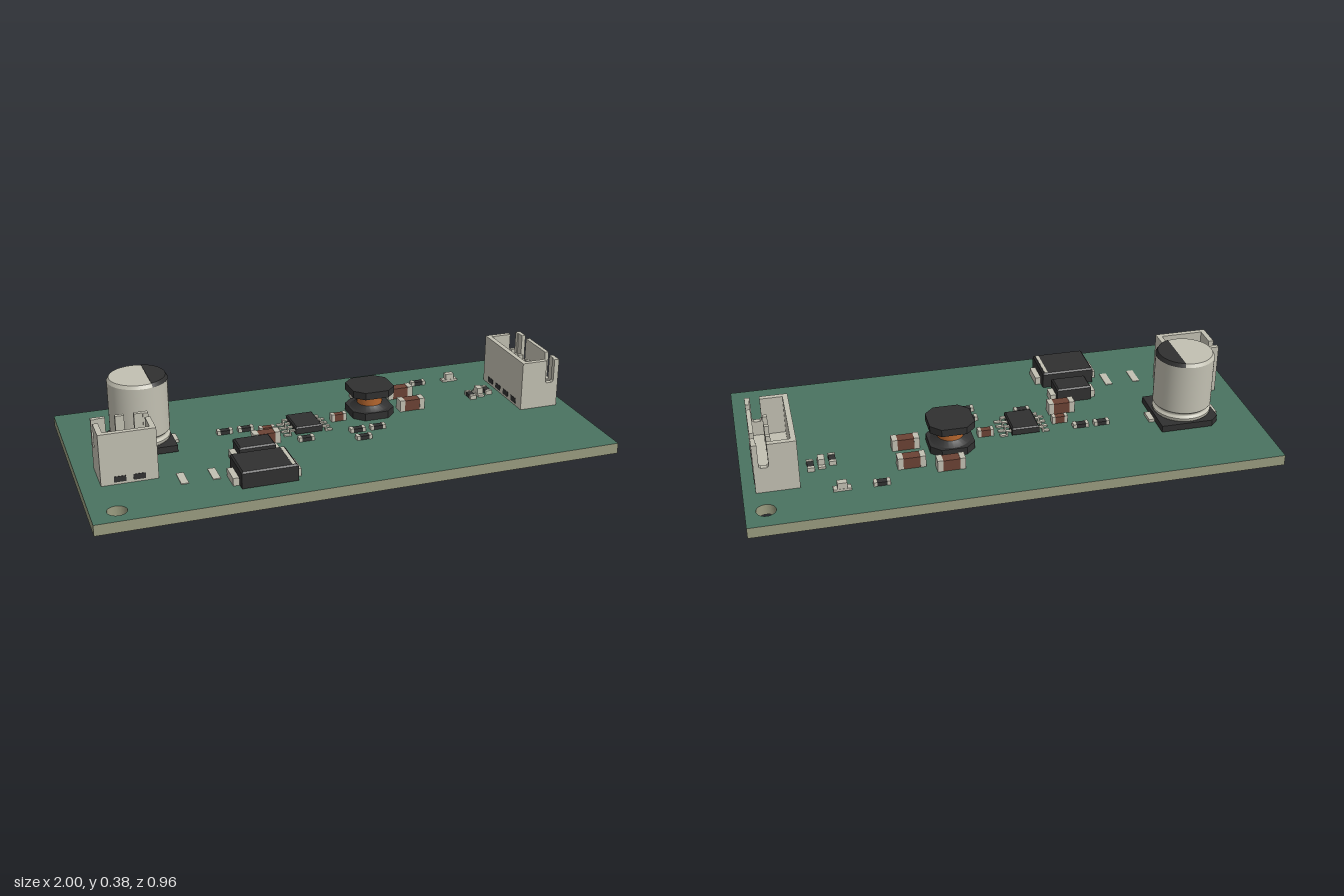
import * as THREE from 'three';

const mat = (name, color, side = THREE.FrontSide) =>
  Object.assign(new THREE.MeshStandardMaterial({ color, side }), { name });

export function createModel() {
  const green = mat('board green', 0x4a7360), edge = mat('board edge', 0x9a9c80);
  const light = mat('pale plastic and metal', 0xc2c0b2, THREE.DoubleSide);
  const black = mat('black', 0x303030, THREE.DoubleSide);
  const brown = mat('ceramic brown', 0x6b4234), copper = mat('copper', 0xb8682f);
  const model = new THREE.Group();
  const TOP = 0.096, BOTTOM = 0.054;

  const add = (name, geo, material, x = 0, y = 0, z = 0, parent = model) => {
    const m = new THREE.Mesh(geo, material);
    m.name = name;
    m.position.set(x, y, z);
    parent.add(m);
    return m;
  };
  // Box standing on height y
  const box = (name, w, h, d, material, x, y, z, parent) =>
    add(name, new THREE.BoxGeometry(w, h, d), material, x, y + h / 2, z, parent);
  const group = (name, x, z, turn = 0) => {
    const g = new THREE.Group();
    g.name = name;
    g.position.set(x, 0, z);
    g.rotation.y = turn;
    model.add(g);
    return g;
  };
  const polygon = (pts) => new THREE.Shape(pts.map(([x, y]) => new THREE.Vector2(x, y)));
  const extrude = (shape, depth, curveSegments = 24) =>
    new THREE.ExtrudeGeometry(shape, { depth, bevelEnabled: false, curveSegments });
  const slab = (shape, depth) => extrude(shape, depth).rotateX(-Math.PI / 2);
  // Box whose top is drawn in by a small amount
  const taperedBox = (w, h, d, inset) => {
    const g = new THREE.BoxGeometry(w, h, d, 1, 3, 1), p = g.attributes.position;
    for (let i = 0; i < p.count; i++) {
      if (p.getY(i) > h * 0.4) {
        p.setX(i, p.getX(i) * (1 - 2 * inset / w));
        p.setZ(i, p.getZ(i) * (1 - 2 * inset / d));
      } else if (p.getY(i) > 0) p.setY(i, h / 2 - inset);
    }
    const flat = g.toNonIndexed();
    flat.computeVertexNormals();
    return flat;
  };

  // Board with two mounting holes
  const outline = polygon([[-1, -0.48], [1, -0.48], [1, 0.48], [-1, 0.48]]);
  for (const [x, z] of [[0.925, -0.385], [-0.905, 0.402]]) {
    outline.holes.push(new THREE.Path().absarc(x, -z, 0.036, 0, Math.PI * 2, true));
  }
  add('board', slab(outline, TOP - BOTTOM), [green, edge], 0, BOTTOM, 0);

  // Bare solder pads
  for (const x of [-0.639, -0.522]) box('solderPad', 0.028, 0.003, 0.09, light, x, TOP, 0.235);

  // Electrolytic capacitor
  const can = group('electrolyticCapacitor', -0.722, -0.103);
  const b = 0.118, c = 0.032;
  add('capacitorBase', slab(polygon([[-b + c, -b], [b, -b], [b, b], [-b + c, b], [-b, b - c], [-b, -b + c]]), 0.026),
    black, 0, TOP + 0.004, 0, can);
  box('capacitorLeads', 0.28, 0.012, 0.06, light, 0, TOP, 0, can);
  const lathe = (pts, ...args) => new THREE.LatheGeometry(pts.map(([r, y]) => new THREE.Vector2(r, y)), ...args);
  const canPart = (name, pts) => add(name, lathe(pts, 48), light, 0, 0, 0, can);
  canPart('canFoot', [[0.105, 0.124], [0.113, 0.132], [0.113, 0.142]]);
  canPart('canGroove', [[0.113, 0.142], [0.104, 0.148], [0.102, 0.153], [0.104, 0.158], [0.113, 0.166]]);
  canPart('canWall', [[0.113, 0.166], [0.113, 0.366]]);
  canPart('canRim', [[0.113, 0.366], [0.105, 0.379]]);
  canPart('canLid', [[0.105, 0.379], [0, 0.379]]);
  const a = Math.acos(0.035 / 0.106);
  add('polarityMark', slab(new THREE.Shape().absarc(0, 0, 0.106, -a, a), 0.002), black, 0, 0.379, 0, can);
  add('polarityRim', lathe([[0.1145, 0.366], [0.106, 0.381]], 24, Math.PI / 2 - a, 2 * a), black, 0, 0, 0, can);

  // Pin header sockets: slotted wall at local -z, plain wall at local +z
  function connector(name, pins, x, z, turn) {
    const g = group(name, x, z, turn);
    const L = pins * 0.0685 + 0.072, D = 0.16, t = 0.02, low = TOP + 0.001, high = 0.296;
    box('socketFloor', L - 0.01, 0.045, D - 0.01, light, 0, low, 0, g);
    box('plainWall', L - 0.02, high - low, t, light, 0, low, D / 2 - t / 2, g);
    const s = L / 2 - 0.07, w = 0.018, e = L / 2 - 0.01, cut = 0.19;
    add('slottedWall', extrude(polygon([[-e, low], [e, low], [e, high], [s + w, high], [s + w, cut], [s - w, cut],
      [s - w, high], [-s + w, high], [-s + w, cut], [-s - w, cut], [-s - w, high], [-e, high]]), t * 0.8),
      light, 0, 0, -D / 2, g);
    const endWall = polygon([[-0.08, low], [0.08, low], [0.08, high], [-0.025, high], [-0.025, 0.206],
      [-0.031, 0.2], [-0.054, 0.2], [-0.06, 0.206], [-0.06, high], [-0.08, high]]);
    for (const side of [-1, 1]) {
      add('endWall', extrude(endWall, t).translate(0, 0, -t / 2).rotateY(-Math.PI / 2), light,
        side * (L / 2 - t / 2), 0, 0, g);
    }
    for (let i = 0; i < pins; i++) {
      const px = (i - (pins - 1) / 2) * 0.0705;
      box('contactPin', 0.017, 0.12, 0.017, light, px, 0.13, -0.014, g);
      const tail = add('pinTail', new THREE.CylinderGeometry(0.009, 0.009, 0.07, 10), light, px, 0.041, -0.016, g);
      tail.rotation.x = 0.12;
      const tip = add('pinTip', new THREE.CylinderGeometry(0.009, 0.005, 0.007, 10), light, 0, -0.0375, 0, tail);
      tip.rotation.y = 0;
      for (const side of [-1, 1]) box('footRecess', 0.044, 0.022, 0.003, black, px, 0.106, side * D / 2, g);
    }
  }
  connector('twoPinConnector', 2, -0.822, 0.125, 0);
  connector('fourPinConnector', 4, 0.872, -0.1, -Math.PI / 2);

  // Power diodes
  function diode(name, x, z, w, d, h, leadLength, leadWidth) {
    const g = group(name, x, z);
    add('diodeBody', taperedBox(w, h, d, 0.006), black, 0, TOP + 0.003 + h / 2, 0, g);
    box('diodeLeads', leadLength, 0.03, leadWidth, light, 0, TOP, 0, g);
    return g;
  }
  const large = diode('largeDiode', -0.354, 0.307, 0.21, 0.166, 0.064, 0.255, 0.09);
  box('cathodeStripe', 0.013, 0.002, 0.152, light, 0.09, TOP + 0.066, 0, large);
  diode('smallDiode', -0.342, 0.138, 0.14, 0.096, 0.06, 0.186, 0.056);

  // Eight-lead chip
  const chip = group('controllerChip', -0.088, -0.047);
  add('chipBody', taperedBox(0.108, 0.028, 0.135, 0.005), black, 0, 0.118, 0, chip);
  for (const side of [-1, 1]) for (let i = 0; i < 4; i++) {
    const z = (i - 1.5) * 0.034;
    box('leadFoot', 0.026, 0.006, 0.014, light, side * 0.085, TOP, z, chip);
    box('leadBend', 0.006, 0.02, 0.014, light, side * 0.072, TOP, z, chip);
    box('leadShoulder', 0.022, 0.006, 0.014, light, side * 0.063, 0.112, z, chip);
  }

  // Inductor: octagonal flanges, tapered core and winding
  const coil = group('inductor', 0.208, -0.11);
  const q = 0.086, k = 0.048;
  const flange = polygon([[k, -q], [q, -k], [q, k], [k, q], [-k, q], [-q, k], [-q, -k], [-k, -q]]);
  add('lowerFlange', slab(flange, 0.03), black, 0, TOP + 0.002, 0, coil);
  add('upperFlange', slab(flange, 0.029), black, 0, 0.187, 0, coil);
  add('core', lathe([[0.08, 0.127], [0.045, 0.145], [0.04, 0.17], [0.075, 0.188]], 24), black, 0, 0, 0, coil);
  add('winding', new THREE.CylinderGeometry(0.052, 0.05, 0.036, 24), copper, 0, 0.158, 0, coil);

  // Two-terminal surface parts
  function chipPart(name, x, z, [w, h, d], body, upright = false) {
    const g = group(name, x, z, upright ? Math.PI / 2 : 0), cap = w * 0.2;
    box('partBody', w - 2 * cap, h - 0.002, d - 0.002, body, 0, TOP, 0, g);
    for (const side of [-1, 1]) box('terminal', cap, h, d, light, side * (w - cap) / 2, TOP, 0, g);
  }
  const big = [0.106, 0.047, 0.044], small = [0.062, 0.03, 0.027], thin = [0.062, 0.017, 0.027];
  for (const [x, z] of [[0.238, -0.266], [0.378, -0.218], [0.378, -0.088], [-0.268, 0.035]])
    chipPart('ceramicCapacitor', x, z, big, brown);
  for (const [x, z] of [[-0.241, -0.044], [0.063, -0.075]])
    chipPart('smallCapacitor', x, z, small, brown);
  for (const [x, z, up] of [[-0.396, -0.097], [-0.312, -0.097], [-0.116, 0.064], [0.098, 0.05], [0.182, 0.05],
    [0.098, 0.122], [0.503, -0.315], [0.66, -0.12, true], [0.743, -0.147, true]])
    chipPart('resistor', x, z, thin, black, up);

  // Indicator lamps
  for (const [x, z, up] of [[0.647, -0.315], [0.702, -0.135, true]]) {
    const g = group('indicatorLamp', x, z, up ? Math.PI / 2 : 0);
    box('lampFoot', 0.066, 0.009, 0.027, light, 0, TOP, 0, g);
    box('lampLens', 0.036, 0.024, 0.025, light, 0, TOP + 0.009, 0, g);
  }
  return model;
}
